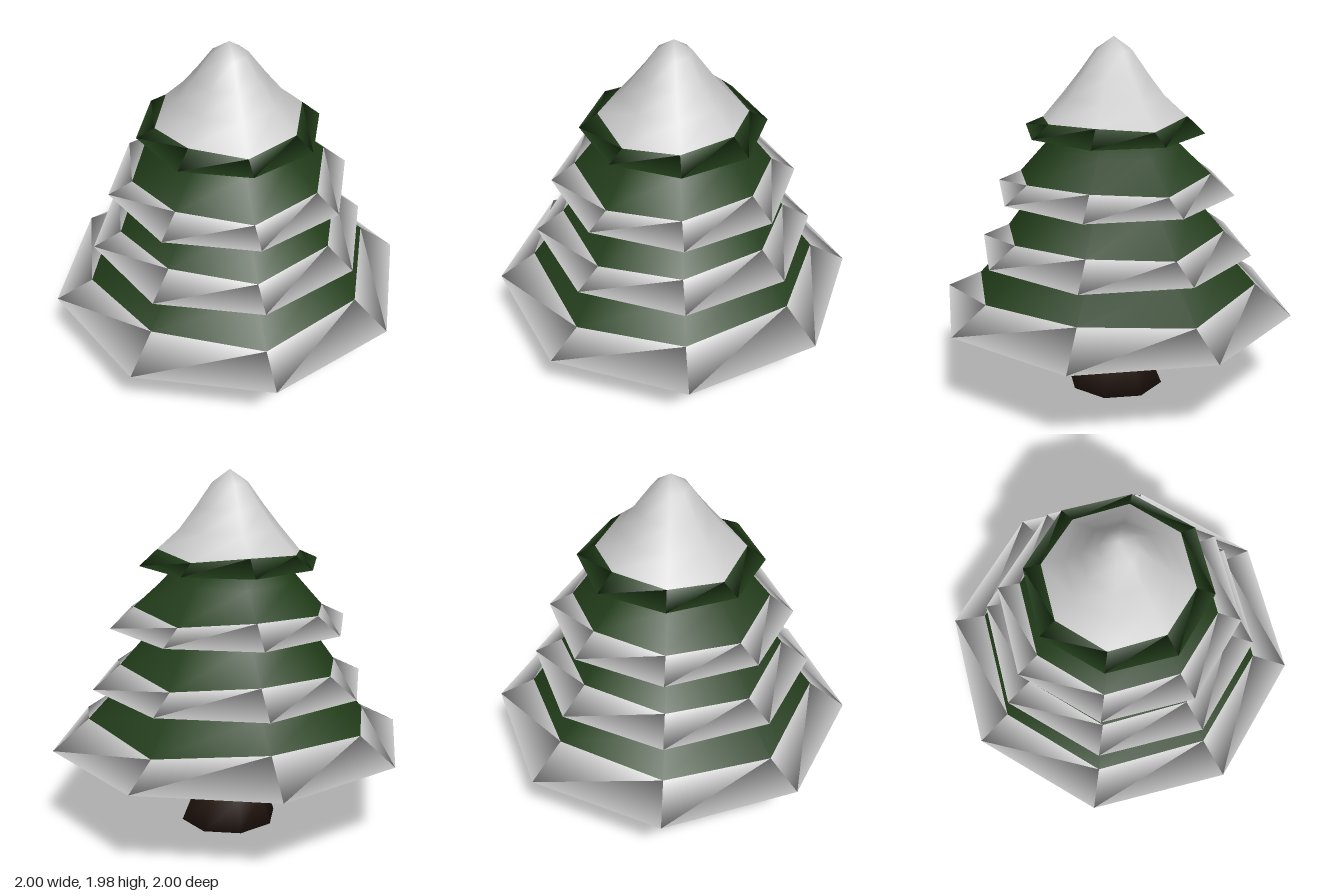
import * as THREE from 'three';
import { mergeVertices } from 'three/addons/utils/BufferGeometryUtils.js';

const SIDES = 8;
const green = new THREE.MeshStandardMaterial({ color: 0x213c19 });
const brown = new THREE.MeshStandardMaterial({ color: 0x2a1b13 });
const snow = new THREE.MeshStandardMaterial({ color: 0xcccccc });

// Height offsets of the wavy snow line, starting at the front and going towards +x
const WAVE = [0.02, -0.04, 0, 0.03, -0.02, 0.03, 0, -0.04];

// Smooth octagonal loft. Each ring is { rx, rz, y, dz, wave, mat };
// mat picks the material of the band above that ring.
function loft(rings, materials, name) {
  const positions = [];
  const indices = [];
  for (const { rx, rz = rx, y, dz = 0, wave = 0 } of rings) {
    for (let k = 0; k < SIDES; k++) {
      const a = (k / SIDES) * Math.PI * 2;
      positions.push(Math.sin(a) * rx, y + WAVE[k] * wave, Math.cos(a) * rz + dz);
    }
  }
  const geometry = new THREE.BufferGeometry();
  for (let j = 0; j < rings.length - 1; j++) {
    const start = indices.length;
    for (let k = 0; k < SIDES; k++) {
      const n = (k + 1) % SIDES;
      const a = j * SIDES + k, b = j * SIDES + n;
      const c = a + SIDES, d = b + SIDES;
      if (rings[j].rx > 0) indices.push(a, b, d);
      if (rings[j + 1].rx > 0) indices.push(a, d, c);
    }
    geometry.addGroup(start, indices.length - start, rings[j].mat || 0);
  }
  geometry.setAttribute('position', new THREE.Float32BufferAttribute(positions, 3));
  geometry.setIndex(indices);
  const merged = mergeVertices(geometry);
  merged.computeVertexNormals();
  const mesh = new THREE.Mesh(merged, materials);
  mesh.name = name;
  return mesh;
}

export function createModel() {
  const tree = new THREE.Group();
  tree.name = 'snowyPineTree';

  // Trunk, flared at the foot and narrowing sideways towards the top
  tree.add(loft([
    { rx: 0, y: 0, dz: -0.015 },
    { rx: 0.27, rz: 0.275, y: 0, dz: -0.015 },
    { rx: 0.21, rz: 0.213, y: 0.16 },
    { rx: 0.19, rz: 0.213, y: 0.32 },
    { rx: 0.145, rz: 0.213, y: 0.5 },
    { rx: 0, y: 0.5 },
  ], [brown], 'trunk'));

  // Three lower tiers: snowy hem, green slope running up under the next tier
  const tiers = [
    { rim: 1.0, y: 0.48, hem: 0.797, hemY: 0.62, wave: 1, slope: [[0.62, 0.785], [0.5, 0.9]] },
    { rim: 0.77, y: 0.812, hem: 0.615, hemY: 0.92, wave: 0.8, slope: [[0.44, 1.13], [0.34, 1.23]] },
    { rim: 0.667, y: 1.147, hem: 0.535, hemY: 1.24, wave: 0.7, slope: [[0.37, 1.4], [0.25, 1.54]] },
  ];
  const names = ['bottomTier', 'secondTier', 'thirdTier'];
  tiers.forEach((t, i) => {
    tree.add(loft([
      { rx: 0, y: t.y },
      { rx: t.rim, y: t.y, mat: 1 },
      { rx: t.hem, y: t.hemY, wave: t.wave },
      ...t.slope.map(([rx, y]) => ({ rx, y })),
      { rx: 0, y: t.slope[1][1] },
    ], [green, snow], names[i]));
  });

  // Top tier: green hem under a rounded snow cap
  tree.add(loft([
    { rx: 0, y: 1.48 },
    { rx: 0.5, y: 1.48 },
    { rx: 0.4, y: 1.55, wave: 0.6, mat: 1 },
    { rx: 0.28, y: 1.67, mat: 1 },
    { rx: 0.19, y: 1.785, mat: 1 },
    { rx: 0.1, y: 1.91, mat: 1 },
    { rx: 0, y: 1.98 },
  ], [green, snow], 'topTier'));

  return tree;
}
